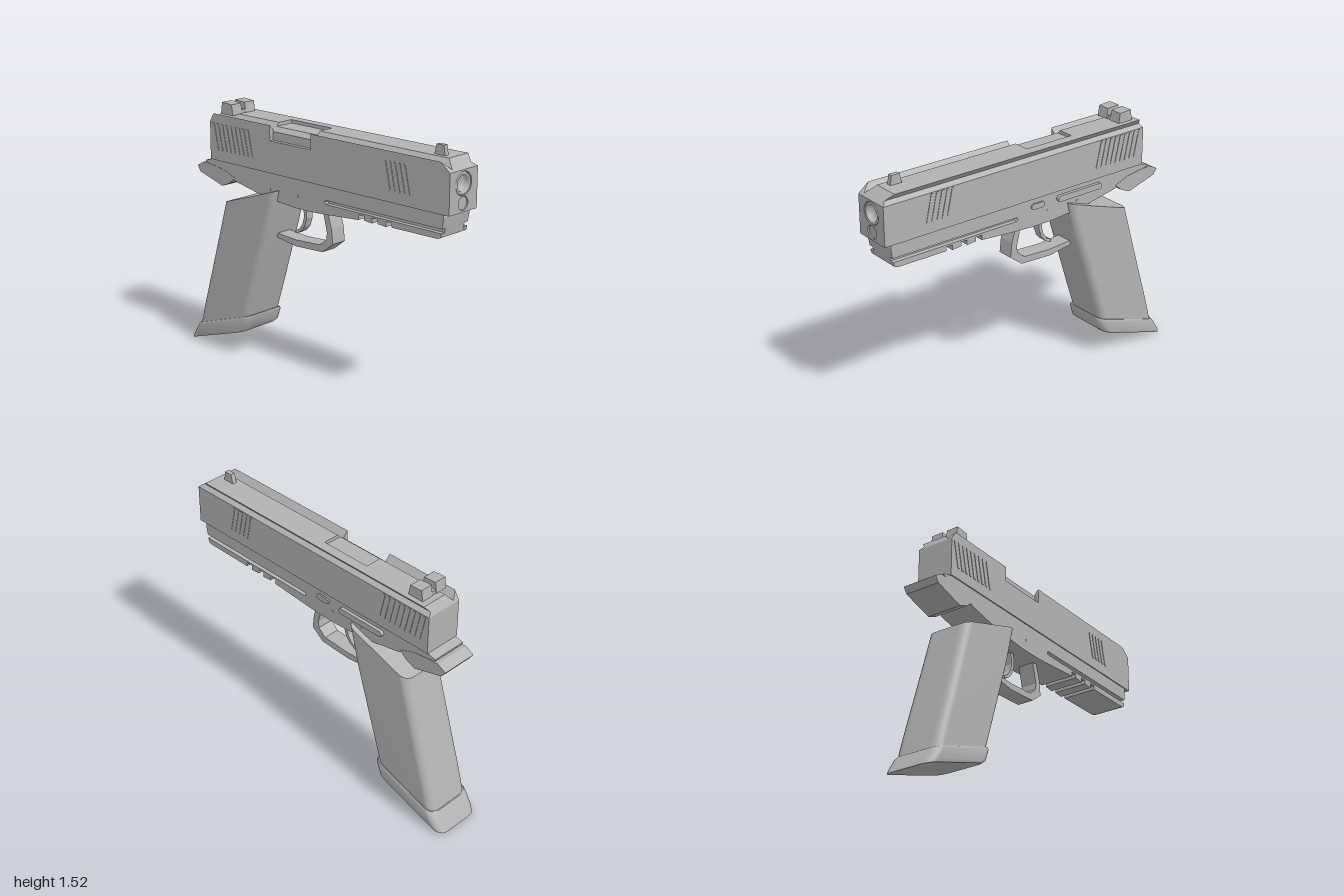
import * as THREE from 'three';

const metal = new THREE.MeshStandardMaterial({ color: 0xb2b2b2 });
metal.name = 'grey metal';

function add(group, name, geometry) {
  const mesh = new THREE.Mesh(geometry, metal);
  mesh.name = name;
  group.add(mesh);
  return mesh;
}

function box(x0, x1, y0, y1, z0, z1) {
  return new THREE.BoxGeometry(x1 - x0, y1 - y0, z1 - z0)
    .translate((x0 + x1) / 2, (y0 + y1) / 2, (z0 + z1) / 2);
}

// Outline of [z, y] points, extruded across the width from x0 to x1
function sideExtrude(points, x0, x1) {
  const shape = new THREE.Shape(points.map(([z, y]) => new THREE.Vector2(-z, y)));
  return new THREE.ExtrudeGeometry(shape, { depth: x1 - x0, bevelEnabled: false })
    .rotateY(Math.PI / 2).translate(x0, 0, 0);
}

// Outline of [x, y] points, extruded lengthwise from z0 to z1, with round holes [x, y, r]
function lengthExtrude(points, z0, z1, holes = []) {
  const shape = new THREE.Shape(points.map(([x, y]) => new THREE.Vector2(x, y)));
  for (const [x, y, r] of holes) shape.holes.push(new THREE.Path().absarc(x, y, r, 0, Math.PI * 2, true));
  return new THREE.ExtrudeGeometry(shape, { depth: z1 - z0, bevelEnabled: false, curveSegments: 24 })
    .translate(0, 0, z0);
}

// Rounded-rectangle loft; each section is [frontZ, frontY, rearZ, rearY, halfWidth], top to bottom
function loft(sections, rx, rt) {
  const steps = 7, ring = 4 * steps, pos = [], index = [];
  const rings = sections.map(([fz, fy, rz, ry, w]) => {
    const pts = [];
    for (let q = 0; q < 4; q++) {
      const sx = q === 0 || q === 3 ? 1 : -1, st = q < 2 ? 1 : -1;
      for (let k = 0; k < steps; k++) {
        const a = (q + k / (steps - 1)) * Math.PI / 2;
        const x = sx * (w - rx) + rx * Math.cos(a);
        const t = (1 - st * (1 - rt) - rt * Math.sin(a)) / 2;
        pts.push([x, fy + (ry - fy) * t, fz + (rz - fz) * t]);
      }
    }
    return pts;
  });
  for (const r of rings) for (const p of r) pos.push(...p);
  for (let i = 0; i < rings.length - 1; i++) for (let j = 0; j < ring; j++) {
    const n = (j + 1) % ring, a = i * ring + j, b = i * ring + n;
    index.push(a, b, a + ring, b, b + ring, a + ring);
  }
  // End caps with their own vertices, so their edges stay sharp
  [0, rings.length - 1].forEach((s, cap) => {
    const base = pos.length / 3, [fz, fy, rz, ry] = sections[s];
    for (const p of rings[s]) pos.push(...p);
    pos.push(0, (fy + ry) / 2, (fz + rz) / 2);
    for (let j = 0; j < ring; j++) {
      const a = base + j, b = base + (j + 1) % ring;
      index.push(base + ring, cap ? a : b, cap ? b : a);
    }
  });
  const geo = new THREE.BufferGeometry();
  geo.setAttribute('position', new THREE.Float32BufferAttribute(pos, 3));
  geo.setIndex(index);
  geo.computeVertexNormals();
  return geo;
}

// Slopes the ends of the slide's upper part
function slopeEnds(geo) {
  const p = geo.attributes.position;
  for (let i = 0; i < p.count; i++) {
    const rise = (p.getY(i) - 1.4) / 0.055;
    if (p.getZ(i) > 0.9) p.setZ(i, p.getZ(i) - 0.07 * rise);
    if (p.getZ(i) < -0.75) p.setZ(i, p.getZ(i) + 0.035 * rise);
  }
  geo.computeVertexNormals();
  return geo;
}

function buildSlide() {
  const g = new THREE.Group();
  g.name = 'slide';
  const W = 0.115, port0 = -0.31, port1 = 0.01;
  const body = [[-W, 1.17], [W, 1.17], [W, 1.4], [-W, 1.4]];
  const top = [[W, 1.4], [0.09, 1.42], [0.12, 1.455], [-0.04, 1.455], [-0.08, 1.41], [-W, 1.45], [-W, 1.4]];
  add(g, 'slideFront', lengthExtrude(body, port1, 1, [[0, 1.325, 0.066], [0, 1.218, 0.039]]));
  add(g, 'slideRear', lengthExtrude(body, -0.81, port0));
  add(g, 'slideTopFront', slopeEnds(lengthExtrude(top, port1, 1)));
  add(g, 'slideTopRear', slopeEnds(lengthExtrude(top, -0.81, port0)));

  // Ejection port, open at the top and one side
  add(g, 'portSection', lengthExtrude([[-W, 1.17], [W, 1.17], [W, 1.4], [0.09, 1.42], [0.12, 1.455],
    [0.06, 1.455], [0.06, 1.36], [-W, 1.36]], port0, port1));
  add(g, 'chamberHood', lengthExtrude([[-0.09, 1.36], [0.06, 1.36], [0.06, 1.435], [-0.06, 1.435], [-0.09, 1.41]],
    port0, port1));

  // Barrel with a stepped bore, and guide rod below it
  const profile = [[0, 0.96], [0.045, 0.96], [0.045, 0.99], [0.05, 0.998], [0.06, 0.998], [0.064, 0.99], [0.064, 0.8]]
    .map(([r, z]) => new THREE.Vector2(r, -z));
  const barrel = new THREE.LatheGeometry(profile, 32).rotateX(-Math.PI / 2).translate(0, 1.325, 0);
  add(g, 'barrel', barrel);
  add(g, 'guideRod', new THREE.CylinderGeometry(0.037, 0.037, 0.2, 24).rotateX(Math.PI / 2).translate(0, 1.218, 0.893));

  // Slanted grip ribs on both sides
  for (const [start, count, pitch] of [[-0.45, 9, 0.036], [0.735, 5, 0.034]]) {
    for (let i = 0; i < count; i++) {
      const z = start - i * pitch;
      const rib = [[z, 1.235], [z - 0.016, 1.235], [z - 0.052, 1.395], [z - 0.036, 1.395]];
      for (const x of [-W - 0.003, W - 0.003]) add(g, 'gripRib', sideExtrude(rib, x, x + 0.006));
    }
  }

  // Sights
  add(g, 'frontSight', sideExtrude([[0.885, 1.45], [0.875, 1.51], [0.825, 1.51], [0.81, 1.45]], -0.014, 0.014));
  const rear = [[-0.64, 1.455], [-0.65, 1.515], [-0.73, 1.52], [-0.74, 1.455]];
  add(g, 'rearSightLeft', sideExtrude(rear, 0.015, 0.09));
  add(g, 'rearSightRight', sideExtrude(rear, -0.09, -0.015));
  add(g, 'rearSightBase', box(-0.09, 0.09, 1.45, 1.475, -0.735, -0.645));
  return g;
}

function buildFrame() {
  const g = new THREE.Group();
  g.name = 'frame';
  const upper = [[-0.86, 1.145], [-0.86, 1.155], [-0.79, 1.172], [0.955, 1.172], [0.96, 1.15], [0.95, 1.09]];
  const slit = [[0.12, 1.088], [0.11, 1.077], [0.12, 1.066], [0.947, 1.066]];
  const lower = [[0.94, 1.04], [0.92, 1.033], [0.605, 1.03]];
  for (const z of [0.605, 0.505, 0.405]) {
    lower.push([z, 1.03], [z, 1.055], [z - 0.04, 1.055], [z - 0.04, 1.025]);
  }
  lower.push([0.1, 1.005], [0, 1], [-0.13, 1], [-0.26, 1.01], [-0.42, 1.03], [-0.6, 1.065], [-0.7, 1.11]);
  add(g, 'frameCore', sideExtrude([...upper, ...lower], -0.08, 0.08));
  add(g, 'frameSideLeft', sideExtrude([...upper, ...slit, ...lower], 0.08, 0.108));
  add(g, 'frameSideRight', sideExtrude([...upper, ...slit, ...lower], -0.108, -0.08));

  add(g, 'tang', sideExtrude([[-0.61, 1.085], [-0.66, 1.045], [-0.72, 1.02], [-0.91, 1.075],
    [-0.935, 1.11], [-0.88, 1.14], [-0.8, 1.135], [-0.7, 1.12]], -0.11, 0.11));

  // Controls on the side: bars with rounded ends
  const lever = (name, z0, z1, y, r, x1) => {
    const s = new THREE.Shape();
    s.absarc(-z1 - r, y, r, -Math.PI / 2, Math.PI / 2, false);
    s.absarc(-z0 + r, y, r, Math.PI / 2, Math.PI * 1.5, false);
    add(g, name, new THREE.ExtrudeGeometry(s, { depth: x1 - 0.1, bevelEnabled: false, curveSegments: 6 })
      .rotateY(Math.PI / 2).translate(0.1, 0, 0));
  };
  lever('slideLever', -0.165, -0.49, 1.125, 0.018, 0.128);
  lever('takedownLever', 0.02, -0.075, 1.123, 0.017, 0.117);
  for (const z of [-0.1, -0.32]) {
    add(g, 'pin', new THREE.CylinderGeometry(0.009, 0.009, 0.22, 10).rotateZ(Math.PI / 2).translate(0, 1.07, z));
  }
  return g;
}

export function createModel() {
  const model = new THREE.Group();
  model.name = 'pistol';
  model.add(buildSlide(), buildFrame());

  add(model, 'triggerGuard', sideExtrude([[0.075, 1.02], [0.11, 0.91], [0.12, 0.82], [0.04, 0.758], [-0.17, 0.748],
    [-0.35, 0.775], [-0.35, 0.8], [-0.17, 0.787], [0.02, 0.797], [0.07, 0.84], [0.075, 0.88], [0.04, 1.02]], -0.05, 0.05));
  add(model, 'trigger', sideExtrude([[-0.11, 1.02], [-0.108, 0.92], [-0.125, 0.87], [-0.155, 0.835], [-0.195, 0.815],
    [-0.2, 0.832], [-0.165, 0.85], [-0.14, 0.885], [-0.128, 0.93], [-0.14, 1.02]], -0.025, 0.025));

  add(model, 'grip', loft([
    [-0.24, 1.08, -0.69, 0.93, 0.14],
    [-0.3, 0.85, -0.755, 0.7, 0.143],
    [-0.38, 0.6, -0.828, 0.45, 0.145],
    [-0.45, 0.38, -0.89, 0.24, 0.146],
    [-0.5, 0.23, -0.93, 0.09, 0.146],
  ], 0.055, 0.25));
  add(model, 'basePad', loft([
    [-0.478, 0.265, -0.928, 0.118, 0.15],
    [-0.476, 0.25, -0.94, 0.102, 0.157],
    [-0.5, 0.18, -0.985, 0.03, 0.157],
    [-0.53, 0.155, -1, 0.003, 0.15],
  ], 0.055, 0.25));
  return model;
}
